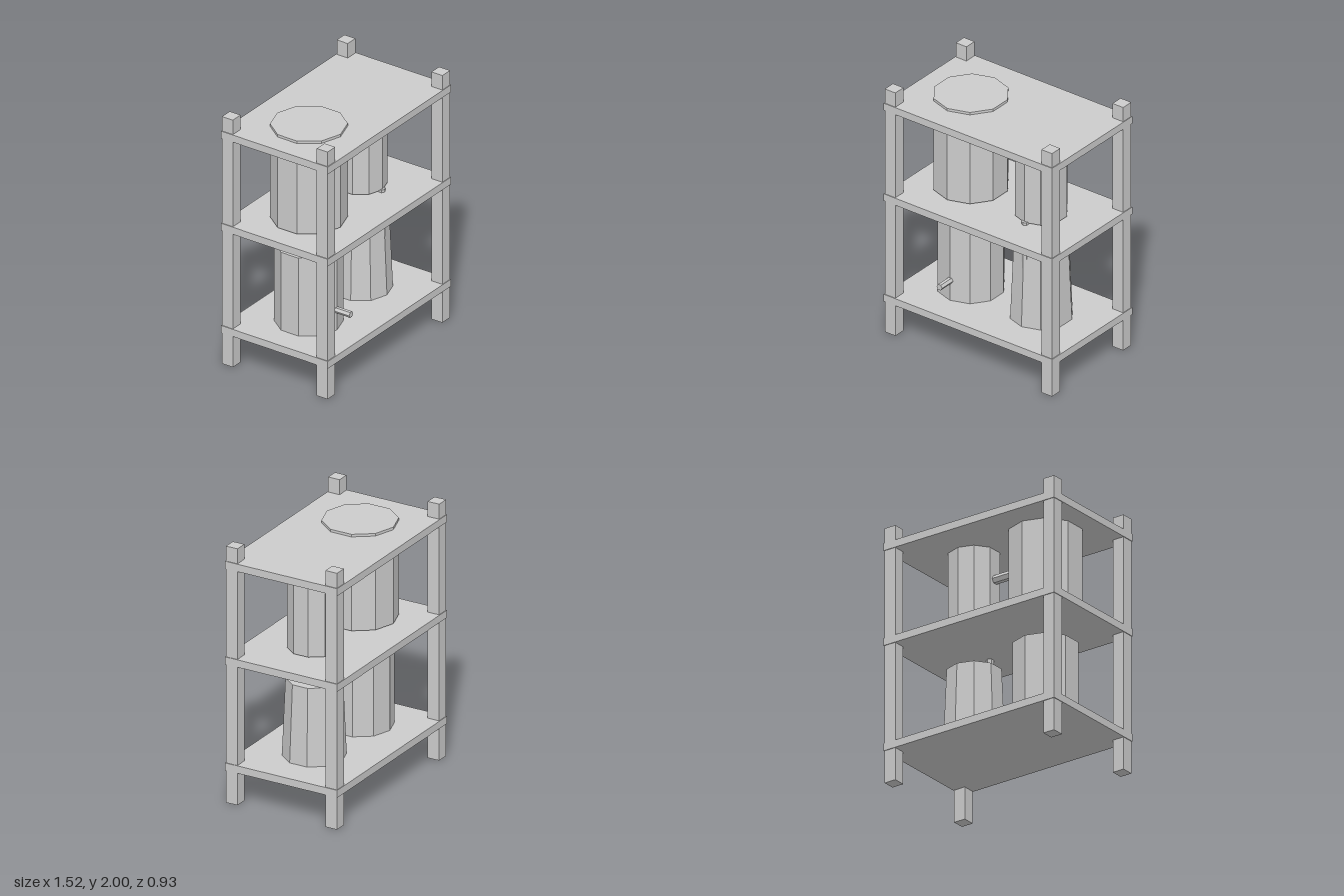
import * as THREE from 'three';

export function createModel() {
  const model = new THREE.Group();
  model.name = 'barrelRack';
  const grey = new THREE.MeshStandardMaterial({ color: 0xcccccc });
  grey.name = 'plainGrey';

  const add = (name, geometry, x, y, z) => {
    const mesh = new THREE.Mesh(geometry, grey);
    mesh.name = name;
    mesh.position.set(x, y, z);
    model.add(mesh);
    return mesh;
  };

  // Faceted upright prism with flat normals
  const prism = (rTop, rBottom, height, sides) => {
    const g = new THREE.CylinderGeometry(rTop, rBottom, height, sides).toNonIndexed();
    g.computeVertexNormals();
    return g;
  };

  // Four corner posts
  for (const sx of [-1, 1]) {
    for (const sz of [-1, 1]) {
      add('post', new THREE.BoxGeometry(0.095, 2, 0.095), sx * 0.705, 1, sz * 0.414);
    }
  }

  // Three shelves
  for (const [name, y] of [['lowerShelf', 0.281], ['middleShelf', 1.108], ['topShelf', 1.854]]) {
    add(name, new THREE.BoxGeometry(1.516, 0.058, 0.934), 0, y, 0);
  }

  // Ten-sided barrels: name, top radius, bottom radius, bottom y, top y, x
  const barrels = [
    ['tallBarrel', 0.277, 0.277, 1.15, 1.903, -0.333],
    ['slimBarrel', 0.194, 0.194, 1.15, 1.84, 0.3],
    ['tapBarrel', 0.247, 0.247, 0.31, 0.94, -0.333],
    ['taperedBarrel', 0.206, 0.232, 0.31, 0.912, 0.3],
  ];
  for (const [name, rTop, rBottom, y0, y1, x] of barrels) {
    add(name, prism(rTop, rBottom, y1 - y0, 10), x, (y0 + y1) / 2, 0);
  }

  // Short pipe between the upper barrels
  add('connectorPipe', prism(0.034, 0.034, 0.18, 6).rotateZ(Math.PI / 2), 0.033, 1.59, 0);

  // Down pipe from the slim barrel into the tapered barrel
  add('downPipe', prism(0.0275, 0.0275, 0.38, 6), 0.3, 0.968, 0.187);

  // Tap on the lower barrel
  add('tap', prism(0.0245, 0.0245, 0.14, 6).rotateY(Math.PI / 2).rotateX(Math.PI / 2), -0.333, 0.472, 0.299);

  return model;
}
